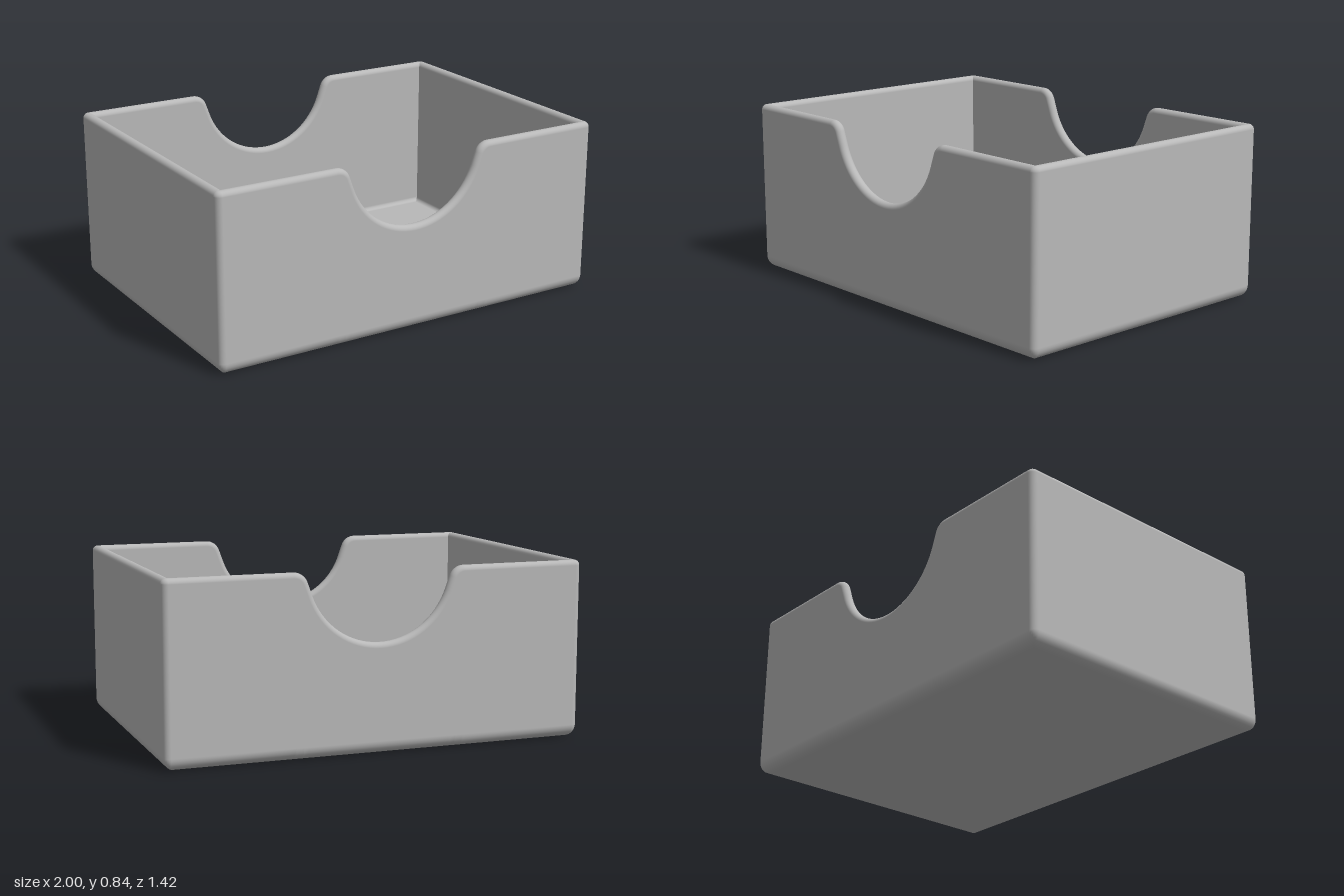
import * as THREE from 'three';

const HALF_X = 1, HALF_Z = 0.71, HEIGHT = 0.84;
const WALL = 0.05, RIM = WALL / 2;      // wall thickness, fully rounded rim
const CORNER = 0.03;                    // upright corner rounding
const BASE = 0.06, FLOOR_FILLET = 0.022; // outer and inner bottom rounding
const STEEP = THREE.MathUtils.degToRad(70);

// Finger notch from +x to -x: edge points with the edge normal in the wall plane
function notchPoints() {
  const half = [];
  const r = 0.07, R = 0.34, n = 8, m = 16;
  for (let i = 0; i <= n; i++) {
    const a = (STEEP * i) / n;
    half.push({ x: 0.407 - r * Math.sin(a), y: HEIGHT - r + r * Math.cos(a), nx: -Math.sin(a), ny: Math.cos(a) });
  }
  for (let i = 0; i <= m; i++) {
    const a = STEEP * (1 - i / m);
    half.push({ x: R * Math.sin(a), y: 0.85 - R * Math.cos(a), nx: -Math.sin(a), ny: Math.cos(a) });
  }
  const mirrored = half.slice(0, -1).reverse().map((p) => ({ ...p, x: -p.x, nx: -p.nx }));
  return [...half, ...mirrored];
}

// Stations around the tray: rounded corners and the two notched walls
function perimeter() {
  const list = [];
  const corner = (sx, sz, start) => {
    for (let i = 0; i <= 6; i++) {
      const a = start + (Math.PI / 2) * (i / 6);
      list.push({ sx, sz, cx: Math.cos(a), cz: Math.sin(a) });
    }
  };
  const notch = notchPoints();
  corner(1, 1, 0);
  notch.forEach((p) => list.push({ sz: 1, edge: p }));
  corner(-1, 1, Math.PI / 2);
  corner(-1, -1, Math.PI);
  notch.forEach((p) => list.push({ sz: -1, edge: { ...p, x: -p.x, nx: -p.nx } }));
  corner(1, -1, Math.PI * 1.5);
  return list;
}

// Wall section: inset from the outside, with a height or a drop below the rim
function section() {
  const rows = [];
  const arc = (steps, sweep, make) => {
    for (let i = 0; i <= steps; i++) rows.push(make(Math.sin((sweep * i) / steps), Math.cos((sweep * i) / steps)));
  };
  arc(8, Math.PI / 2, (s, c) => ({ inset: BASE * (1 - s), y: BASE * (1 - c) }));
  arc(14, Math.PI, (s, c) => ({ inset: RIM * (1 - c), drop: RIM * (1 - s) }));
  arc(6, Math.PI / 2, (s, c) => ({ inset: WALL + FLOOR_FILLET * (1 - c), y: WALL + FLOOR_FILLET * (1 - s) }));
  return rows;
}

function pointAt(station, row) {
  const d = row.inset;
  const drop = row.drop ?? RIM;
  if (station.edge) {
    const e = station.edge;
    return new THREE.Vector3(e.x - e.nx * drop, row.y ?? e.y - e.ny * drop, station.sz * (HALF_Z - d));
  }
  const back = Math.max(CORNER, d), r = Math.max(CORNER - d, 0);
  return new THREE.Vector3(
    station.sx * (HALF_X - back) + station.cx * r,
    row.y ?? HEIGHT - drop,
    station.sz * (HALF_Z - back) + station.cz * r
  );
}

// Sweep the section round the perimeter and close it with underside and floor
function trayGeometry() {
  const stations = perimeter(), rows = section();
  const count = stations.length;
  const points = [];
  rows.forEach((row) => stations.forEach((s) => points.push(pointAt(s, row))));
  const index = [];
  const area = new THREE.Triangle();
  const face = (a, b, c) => {
    area.set(points[a], points[b], points[c]);
    if (area.getArea() > 1e-9) index.push(a, b, c);
  };
  for (let j = 0; j < rows.length - 1; j++) {
    for (let i = 0; i < count; i++) {
      const a = j * count + i, b = j * count + ((i + 1) % count);
      face(a, a + count, b);
      face(b, a + count, b + count);
    }
  }
  const under = points.push(new THREE.Vector3(0, 0, 0)) - 1;
  const floor = points.push(new THREE.Vector3(0, WALL, 0)) - 1;
  const last = (rows.length - 1) * count;
  for (let i = 0; i < count; i++) {
    const k = (i + 1) % count;
    face(under, i, k);
    face(floor, last + k, last + i);
  }
  const geometry = new THREE.BufferGeometry().setFromPoints(points);
  geometry.setIndex(index);
  geometry.computeVertexNormals();
  return geometry;
}

export function createModel() {
  const grey = new THREE.MeshStandardMaterial({ color: 0xb8b8b8 });
  grey.name = 'light grey';
  const tray = new THREE.Mesh(trayGeometry(), grey);
  tray.name = 'notchedTray';
  const group = new THREE.Group();
  group.name = 'cardTray';
  group.add(tray);
  return group;
}
